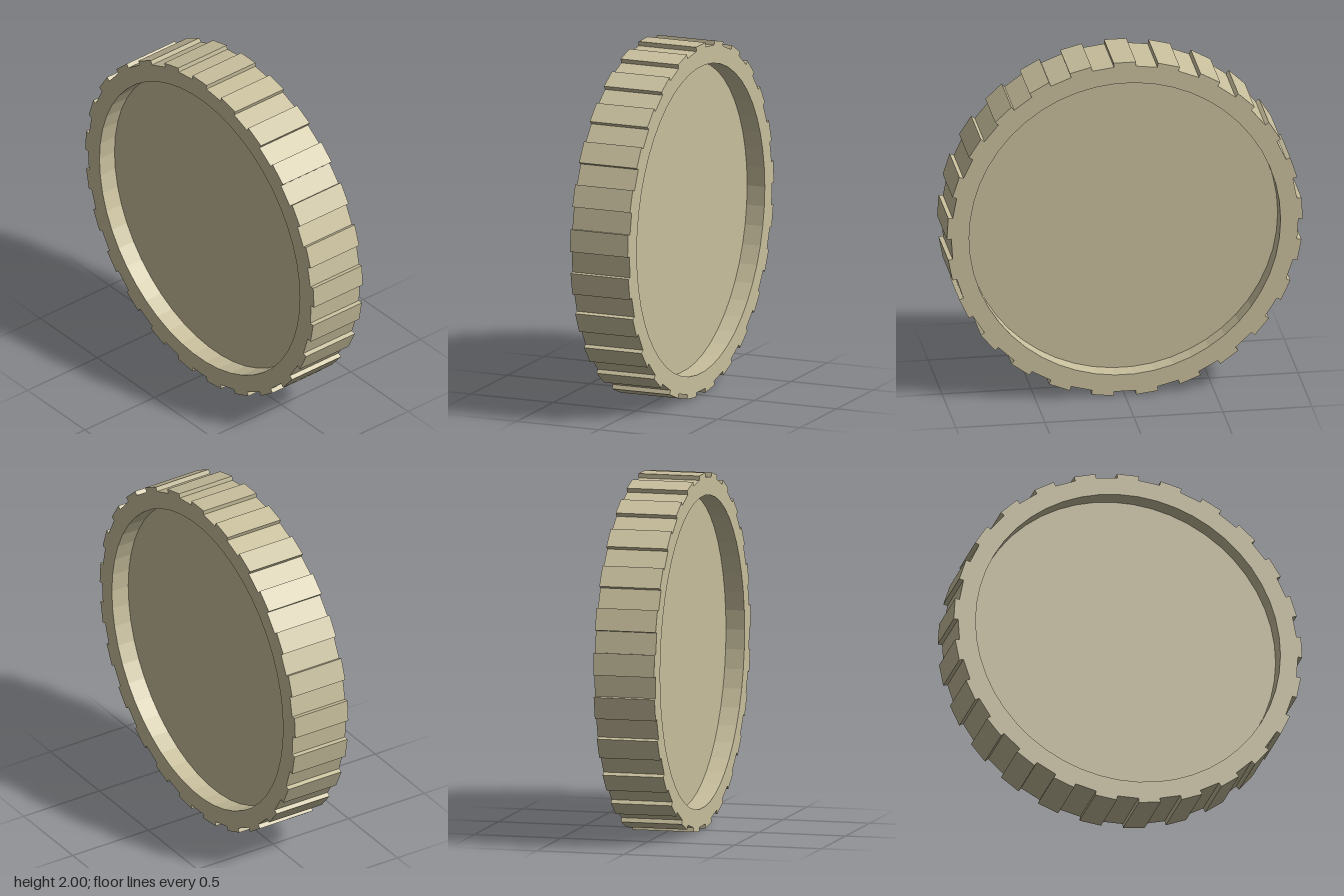
import * as THREE from 'three';

const TEETH = 25, TIP = 1.0, ROOT = 0.975, BORE = 0.875;
const WIDTH = 0.35, WEB = 0.135;

export function createModel() {
  const model = new THREE.Group();
  const material = new THREE.MeshStandardMaterial({ color: 0xc8bf9d, flatShading: true });

  // Point on a circle, angle measured counterclockwise from the top
  const polar = (r, a) => new THREE.Vector2(-r * Math.sin(a), r * Math.cos(a));

  // Rim: flat-topped teeth and equal gaps around a round bore
  const outline = [], bore = [];
  const step = Math.PI / TEETH;
  for (let i = 0; i < TEETH * 2; i++) {
    const r = i % 2 === 0 ? TIP : ROOT;
    outline.push(polar(r, (i - 0.5) * step), polar(r, (i + 0.5) * step));
    bore.push(polar(BORE, (i - 0.5) * step));
  }
  const shape = new THREE.Shape(outline);
  shape.holes.push(new THREE.Path(bore));
  const rimGeometry = new THREE.ExtrudeGeometry(shape, { depth: WIDTH, bevelEnabled: false });
  rimGeometry.translate(0, 0, -WIDTH / 2);
  const rim = new THREE.Mesh(rimGeometry, material);
  rim.name = 'toothedRim';

  // Thin disc set back from both faces of the rim
  const webGeometry = new THREE.CylinderGeometry(BORE, BORE, WEB, TEETH * 2, 1, false, step / 2);
  webGeometry.rotateX(Math.PI / 2);
  const web = new THREE.Mesh(webGeometry, material);
  web.name = 'recessedDisc';

  // Rest the lowest tooth corners on the ground
  const wheel = new THREE.Group();
  wheel.name = 'wheel';
  wheel.position.y = TIP * Math.cos(step / 2);
  wheel.add(rim, web);
  model.add(wheel);
  return model;
}
